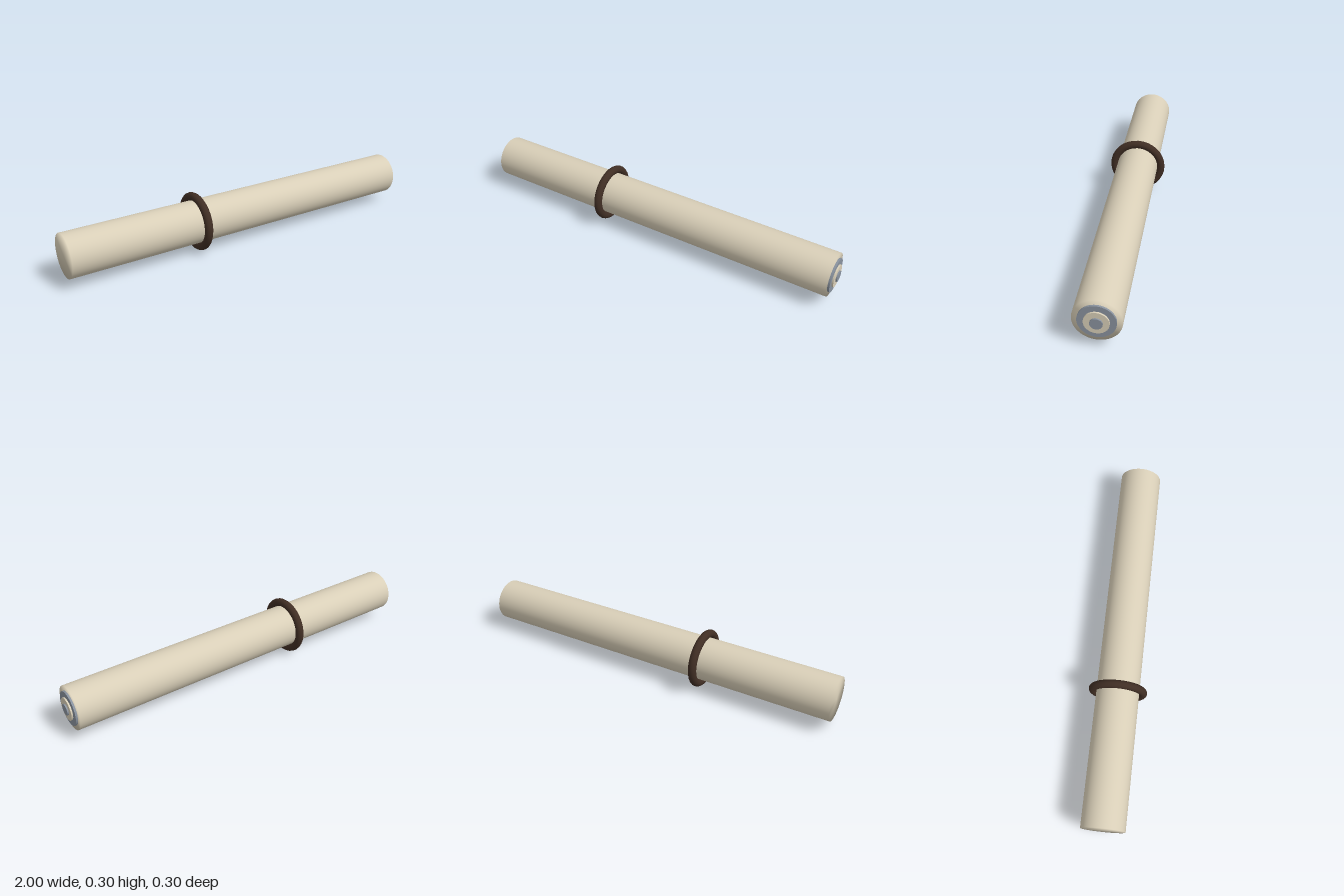
import * as THREE from 'three';
import { mergeVertices } from 'three/addons/utils/BufferGeometryUtils.js';

const AXIS_Y = 0.152;

function material(name, color) {
  const m = new THREE.MeshStandardMaterial({ color });
  m.name = name;
  return m;
}

// Cylinder lying along x between two ends
function rod(name, radius, x0, x1, mat, smoothRim = false) {
  let geometry = new THREE.CylinderGeometry(radius, radius, x1 - x0, 64);
  if (smoothRim) {
    // Weld the rims so shading flows from the side onto the ends
    geometry.deleteAttribute('normal');
    geometry.deleteAttribute('uv');
    geometry = mergeVertices(geometry, 1e-5);
    geometry.computeVertexNormals();
  }
  geometry.rotateZ(-Math.PI / 2);
  const mesh = new THREE.Mesh(geometry, mat);
  mesh.name = name;
  mesh.position.set((x0 + x1) / 2, AXIS_Y, 0);
  return mesh;
}

export function createModel() {
  const cream = material('cream', 0xd9cfb8);
  const steel = material('blue grey', 0x8a939f);
  const brown = material('dark brown', 0x402e24);

  const model = new THREE.Group();
  model.name = 'ringedRod';

  // Long body
  model.add(rod('body', 0.111, -1, 0.975, cream, true));

  // Stepped discs on the +x end
  model.add(rod('outerEndDisc', 0.086, 0.97, 0.985, steel));
  model.add(rod('middleEndDisc', 0.057, 0.97, 0.993, cream));
  model.add(rod('endButton', 0.0286, 0.97, 1, steel));

  // Ring around the body
  const ring = new THREE.Mesh(new THREE.TorusGeometry(0.131, 0.021, 16, 32), brown);
  ring.name = 'gripRing';
  ring.rotation.y = Math.PI / 2;
  ring.position.set(-0.3, AXIS_Y, 0);
  model.add(ring);

  return model;
}
